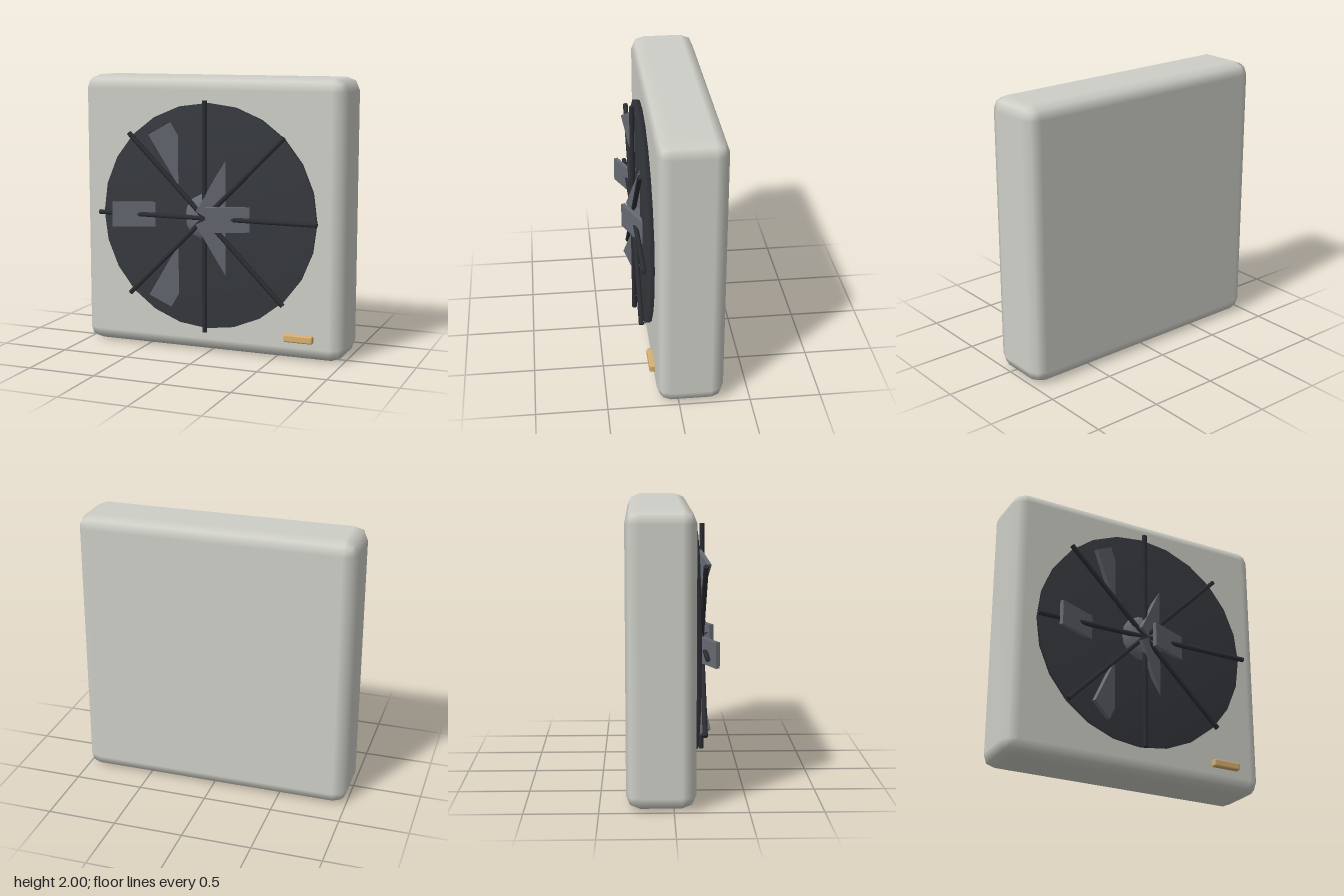
import * as THREE from 'three';
import { mergeVertices } from 'three/addons/utils/BufferGeometryUtils.js';
import { RoundedBoxGeometry } from 'three/addons/geometries/RoundedBoxGeometry.js';

const paint = (color) => new THREE.MeshStandardMaterial({ color });

const casingMat = paint(0xcfcfc8);
const discMat = paint(0x36393e);
const barMat = paint(0x2c2e33);
const bladeMat = paint(0x676b73);
const brassMat = paint(0xd8b070);

// Shares corner vertices so that shading runs smoothly over the edges
function smooth(geometry) {
  geometry.deleteAttribute('normal');
  geometry.deleteAttribute('uv');
  const merged = mergeVertices(geometry);
  merged.computeVertexNormals();
  return merged;
}

function part(name, geometry, material, x, y, z, parent) {
  const mesh = new THREE.Mesh(geometry, material);
  mesh.name = name;
  mesh.position.set(x, y, z);
  parent.add(mesh);
  return mesh;
}

export function createModel() {
  const model = new THREE.Group();
  model.name = 'boxFan';

  // Casing with softly chamfered edges
  part('casing', new RoundedBoxGeometry(2, 2, 0.47, 1, 0.095), casingMat, 0, 1, -0.085, model);

  // Dark round opening
  const disc = smooth(new THREE.CylinderGeometry(0.815, 0.815, 0.06, 24).rotateX(Math.PI / 2));
  part('opening', disc, discMat, 0, 1, 0.157, model);

  // Flattened hub
  const hub = new THREE.SphereGeometry(0.18, 12, 8).scale(1, 1, 0.4);
  part('hub', hub, bladeMat, 0, 1, 0.165, model);

  // Six blades, each turned in the fan plane, then tilted about the upright axis
  const blades = new THREE.Group();
  blades.name = 'blades';
  model.add(blades);
  const bladeGeometry = new THREE.BoxGeometry(0.72, 0.18, 0.03);
  for (let i = 0; i < 6; i++) {
    const a = (i * Math.PI) / 3;
    const blade = part('blade', bladeGeometry, bladeMat,
      0.365 * Math.cos(a), 1 + 0.365 * Math.sin(a), 0.154, blades);
    blade.rotation.set(0, 0.42, a);
  }

  // Guard of four crossing bars
  const guard = new THREE.Group();
  guard.name = 'guard';
  model.add(guard);
  const barGeometry = new THREE.CylinderGeometry(0.018, 0.018, 1.67, 6);
  for (let i = 0; i < 4; i++) {
    part('guardBar', barGeometry, barMat, 0, 1, 0.225, guard).rotation.z = (i * Math.PI) / 4;
  }

  // Small brass plate in the lower corner
  part('plate', new RoundedBoxGeometry(0.215, 0.055, 0.05, 1, 0.012), brassMat, 0.69, 0.167, 0.165, model);

  return model;
}
